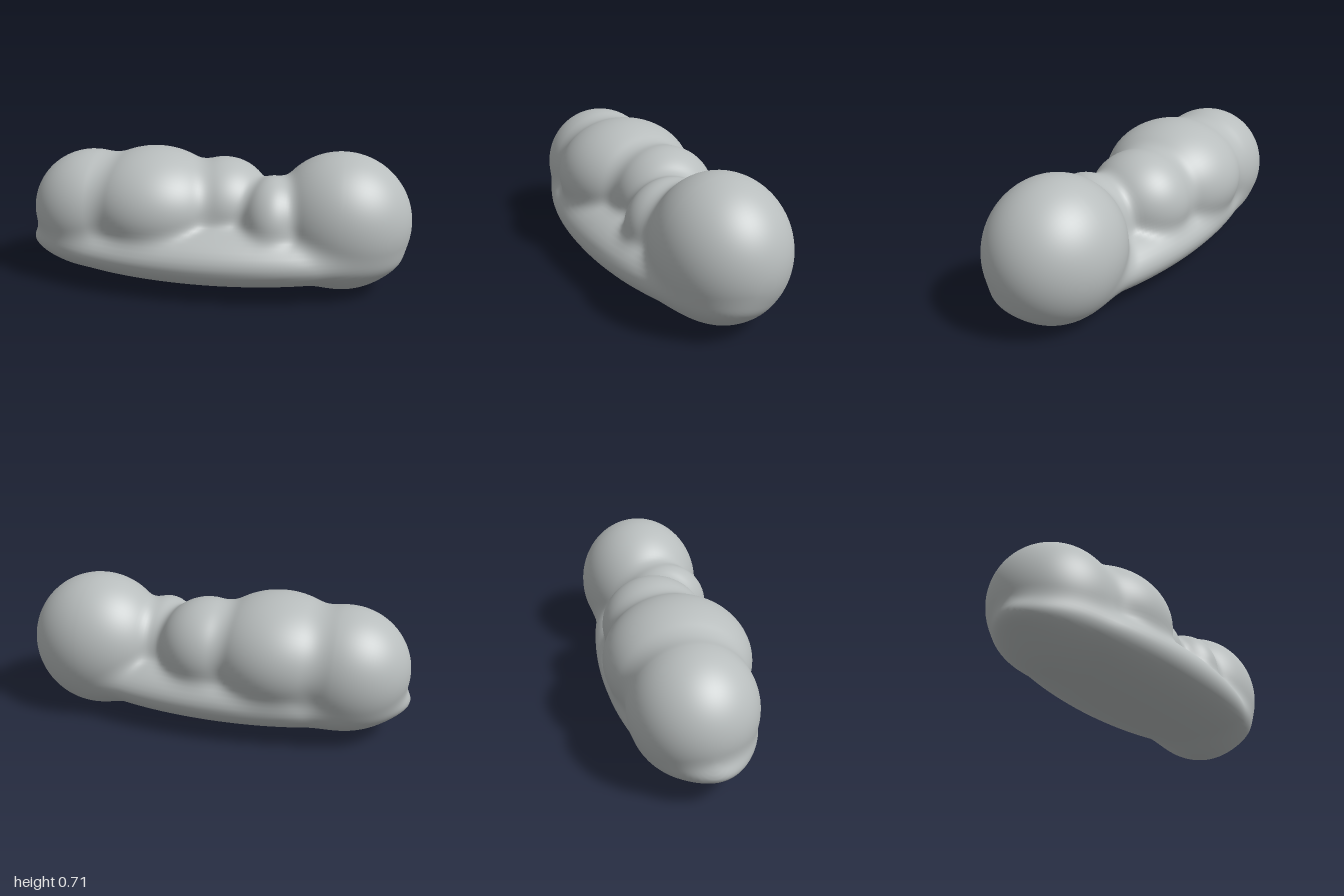
import * as THREE from 'three';
import { mergeVertices } from 'three/addons/utils/BufferGeometryUtils.js';

// Soft lobes that melt together: centre and radii
const lobes = [
  { c: [-0.03, 0.2, 0.005], r: [0.968, 0.18, 0.375] },    // wide flat base
  { c: [0.64, 0.355, -0.038], r: [0.355, 0.355, 0.325] }, // large round end
  { c: [-0.67, 0.355, -0.03], r: [0.318, 0.312, 0.302] }, // smaller round end
  { c: [-0.33, 0.4, -0.025], r: [0.37, 0.298, 0.36] },    // tall middle lobe
  { c: [0.03, 0.4, -0.07], r: [0.25, 0.248, 0.265] },     // small rear lobe
  { c: [0.3, 0.36, 0.04], r: [0.17, 0.23, 0.23] },        // front ridge
];

// Approximate distance from a point to an ellipsoid
function lobeDistance(p, { c, r }) {
  let a = 0, b = 0;
  for (let i = 0; i < 3; i++) {
    const d = (p[i] - c[i]) / r[i];
    a += d * d;
    b += (d / r[i]) ** 2;
  }
  a = Math.sqrt(a);
  return a < 1e-4 ? -Math.min(...r) : a * (a - 1) / Math.sqrt(b);
}

// Smooth union of all lobes
function bodyDistance(p) {
  const k = 0.055;
  return lobes.map((l) => lobeDistance(p, l)).reduce((a, b) => {
    const h = Math.max(k - Math.abs(a - b), 0) / k;
    return Math.min(a, b) - h * h * k * 0.25;
  });
}

// Point on the skin along a ray from inside the body
function skinPoint(origin, dir) {
  const at = (t) => origin.map((o, i) => o + dir[i] * t);
  let lo = 0, hi = 0.8;
  for (let i = 0; i < 22; i++) {
    const mid = (lo + hi) / 2;
    if (bodyDistance(at(mid)) < 0) lo = mid;
    else hi = mid;
  }
  return at(lo);
}

function createSkin() {
  const around = 96, cap = 28, middle = 100, half = 0.65;
  // Rows: spine position and tilt, fanned out over both rounded ends
  const rows = [];
  for (let i = 0; i < cap; i++) rows.push([-half, (i / cap - 1) * Math.PI / 2]);
  for (let i = 0; i <= middle; i++) rows.push([-half + 2 * half * i / middle, 0]);
  for (let i = 1; i <= cap; i++) rows.push([half, i / cap * Math.PI / 2]);

  const positions = [], index = [];
  rows.forEach(([x, tilt], j) => {
    for (let i = 0; i < around; i++) {
      const a = i / around * Math.PI * 2, side = Math.cos(tilt);
      const dir = [Math.sin(tilt), Math.cos(a) * side, Math.sin(a) * side];
      positions.push(...skinPoint([x, 0.28, -0.01], dir));
      if (j === rows.length - 1) continue;
      const n = (i + 1) % around, p = j * around, q = p + around;
      index.push(p + i, p + n, q + i, p + n, q + n, q + i);
    }
  });
  let geometry = new THREE.BufferGeometry();
  geometry.setAttribute('position', new THREE.Float32BufferAttribute(positions, 3));
  geometry.setIndex(index);
  geometry = mergeVertices(geometry, 1e-5);
  geometry.computeVertexNormals();
  return geometry;
}

export function createModel() {
  const group = new THREE.Group();
  group.name = 'cloud';
  const material = new THREE.MeshStandardMaterial({ color: 0xb8bdbd });
  material.name = 'soft grey';
  const body = new THREE.Mesh(createSkin(), material);
  body.name = 'cloudBody';
  group.add(body);
  return group;
}
